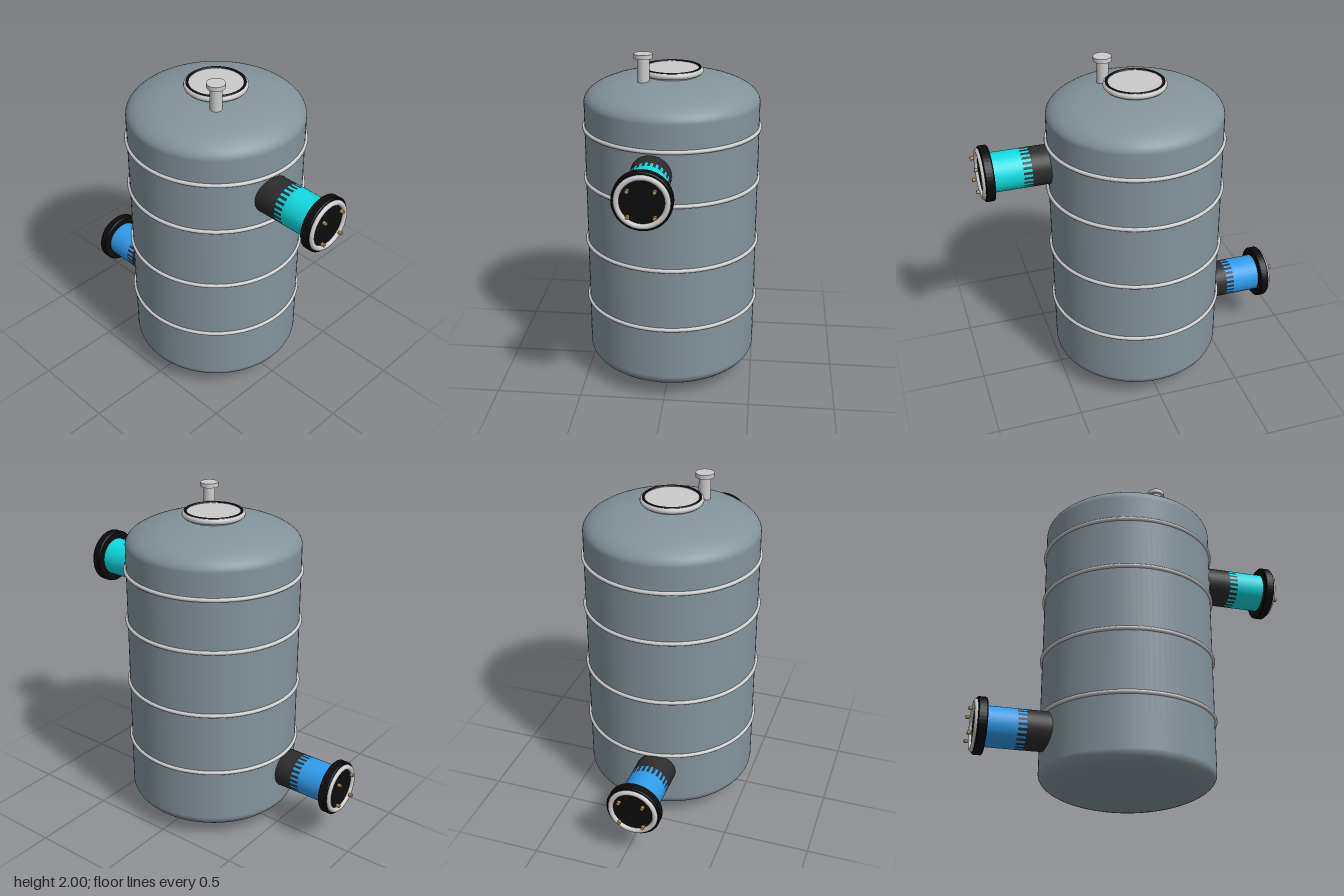
import * as THREE from 'three';

const mat = (color) => new THREE.MeshStandardMaterial({ color });
const STEEL = mat(0x84939b), TRIM = mat(0xcccccc), DARK = mat(0x2c2c2c),
  BLACK = mat(0x0c0c0c), BRASS = mat(0xb08a55), TEAL = mat(0x10dce2), BLUE = mat(0x2f9cec);

function add(parent, name, geometry, material, x = 0, y = 0, z = 0) {
  const mesh = new THREE.Mesh(geometry, material);
  mesh.name = name;
  mesh.position.set(x, y, z);
  parent.add(mesh);
  return mesh;
}

// Ring lying flat around the y axis
const ring = (radius, tube) => new THREE.TorusGeometry(radius, tube, 12, 96).rotateX(Math.PI / 2);

// Cylinder running along the local y axis between two heights
function span(parent, name, radius, from, to, material) {
  return add(parent, name, new THREE.CylinderGeometry(radius, radius, to - from, 48), material, 0, (from + to) / 2);
}

// Side port: built upright along y, then laid over so y points outwards
function makePort(name, color) {
  const port = new THREE.Group();
  port.name = name;
  span(port, 'darkPipe', 0.114, 0.42, 0.612, DARK);
  span(port, 'colouredPipe', 0.114, 0.66, 0.84, color);

  // Interlocking teeth where the two pipes meet
  const teeth = 48, step = (Math.PI * 2) / teeth;
  for (let i = 0; i < teeth; i++) {
    const tooth = new THREE.CylinderGeometry(0.114, 0.114, 0.05, 2, 1, true, i * step, step);
    add(port, 'tooth', tooth, i % 2 ? DARK : color, 0, 0.636);
  }

  // Flange with softened edges
  const r = 0.16, b = 0.006;
  const profile = [[0, 0.83], [r - b, 0.83], [r, 0.83 + b], [r, 0.884 - b], [r - b, 0.884], [0, 0.884]]
    .map(([x, y]) => new THREE.Vector2(x, y));
  const flange = new THREE.LatheGeometry(profile, 48).toNonIndexed();
  flange.computeVertexNormals();
  add(port, 'flange', flange, BLACK);
  add(port, 'flangeRing', ring(0.132, 0.015), TRIM, 0, 0.886);

  // Four bolts
  for (const x of [-0.07, 0.07]) for (const z of [-0.07, 0.07])
    add(port, 'bolt', new THREE.CylinderGeometry(0.011, 0.011, 0.02, 12), BRASS, x, 0.918, z);
  return port;
}

export function createModel() {
  const model = new THREE.Group();
  model.name = 'storageTank';

  // Tank shell with elliptical ends
  const R = 0.505, low = 0.165, high = 1.705, n = 20;
  const profile = [];
  for (let i = 0; i <= n; i++) {
    const a = (i / n) * Math.PI / 2;
    profile.push(new THREE.Vector2(R * Math.sin(a), low - 0.16 * Math.cos(a)));
  }
  for (let i = n; i >= 0; i--) {
    const a = (i / n) * Math.PI / 2;
    profile.push(new THREE.Vector2(R * Math.sin(a), high + 0.155 * Math.cos(a)));
  }
  add(model, 'tankShell', new THREE.LatheGeometry(profile, 96), STEEL);

  // Hoops
  for (const y of [0.48, 0.855, 1.245, 1.555]) add(model, 'hoop', ring(0.507, 0.012), TRIM, 0, y);

  // Top hatch
  add(model, 'hatchRim', ring(0.162, 0.018), TRIM, 0, 1.876);
  add(model, 'hatchSeal', ring(0.16, 0.008), BLACK, 0, 1.89);
  span(model, 'hatchLid', 0.157, 1.85, 1.89, TRIM);

  // Vent beside the hatch
  const vent = new THREE.Group();
  vent.name = 'vent';
  vent.position.set(0.145, 0, 0.145);
  span(vent, 'ventPipe', 0.034, 1.82, 1.98, TRIM);
  span(vent, 'ventCap', 0.052, 1.975, 2, TRIM);
  model.add(vent);

  // Upper port on the left, lower port on the right
  const upper = makePort('upperPort', TEAL);
  upper.position.set(0, 1.42, 0.065);
  upper.rotation.z = -Math.PI / 2;
  const lower = makePort('lowerPort', BLUE);
  lower.position.set(0, 0.365, 0.065);
  lower.rotation.z = Math.PI / 2;
  model.add(upper, lower);

  return model;
}
